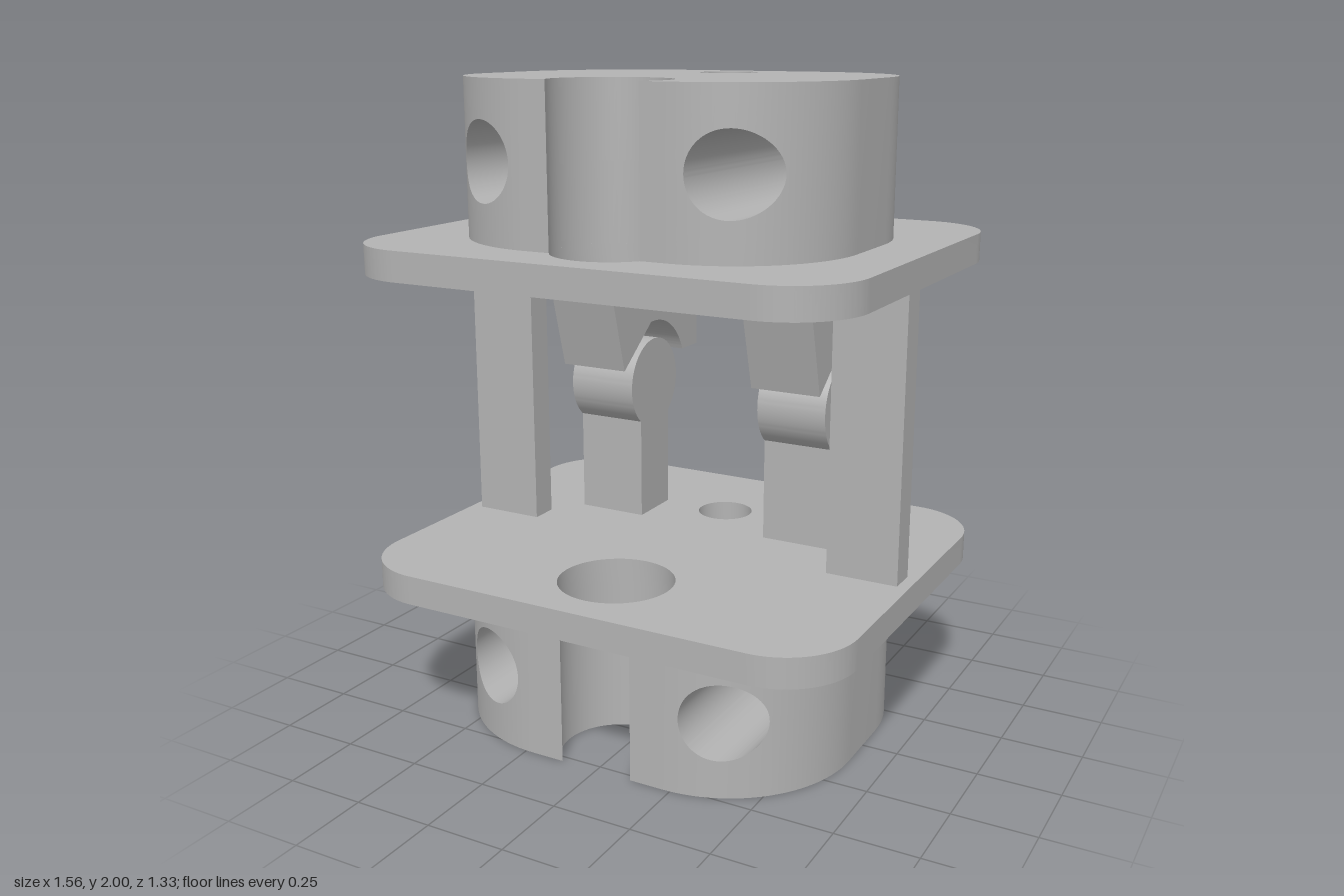
import * as THREE from 'three';
import { toCreasedNormals } from 'three/addons/utils/BufferGeometryUtils.js';

const BIG = { z: 0.395, r: 0.175 };    // front vertical bore
const SMALL = { z: -0.315, r: 0.089 }; // rear vertical bore
const CROSS = { x: 0.393, r: 0.118 };  // pair of horizontal bores along z

// Half height of a horizontal bore at a given x
const gap = (x) => Math.sqrt(Math.max(0, CROSS.r ** 2 - (Math.abs(x) - CROSS.x) ** 2));

// Block outline seen from above as [x, z], counter-clockwise, with the front notch
function blockOutline(hx, hz, r) {
  const cut = Math.sqrt(BIG.r ** 2 - (hz - BIG.z) ** 2);
  const cx = hx - r;
  const xs = [];
  for (let i = 0; i <= 24; i++) xs.push(cx + r * Math.sin((i / 24) * Math.PI / 2));
  for (let i = 0; i <= 32; i++) xs.push(CROSS.x - CROSS.r * Math.cos((i / 32) * Math.PI));
  xs.sort((a, b) => a - b);
  const zAt = (x) => hz - r + Math.sqrt(Math.max(0, r * r - Math.max(0, x - cx) ** 2));
  const side = xs.filter((x, i) => i === 0 || x - xs[i - 1] > 1e-4).map((x) => [x, zAt(x)]);
  const back = [...side].reverse();
  const notch = [];
  const start = Math.atan2(hz - BIG.z, -cut), end = Math.atan2(hz - BIG.z, cut) + 2 * Math.PI;
  for (let i = 0; i <= 40; i++) {
    const a = start + ((end - start) * i) / 40;
    notch.push([BIG.r * Math.cos(a), BIG.z + BIG.r * Math.sin(a)]);
  }
  return [
    ...back.map(([x, z]) => [-x, z]), ...notch, ...side,
    ...back.map(([x, z]) => [x, -z]), ...side.map(([x, z]) => [-x, -z]),
  ];
}

// Rounded block walls, drilled along z, plus the rear vertical bore
function blockWalls(outline, y0, y1, yc) {
  const pos = [];
  const quad = (a, b, c, d) => pos.push(...a, ...b, ...c, ...a, ...c, ...d);
  outline.forEach(([ax, az], i) => {
    const [bx, bz] = outline[(i + 1) % outline.length];
    const ga = gap(ax), gb = gap(bx);
    quad([ax, y0, az], [bx, y0, bz], [bx, yc - gb, bz], [ax, yc - ga, az]);
    quad([ax, yc + ga, az], [bx, yc + gb, bz], [bx, y1, bz], [ax, y1, az]);
    // Bore lining, spanning from the front wall to the back wall
    if (az > 0 && bx > ax && ga + gb > 1e-5) {
      quad([ax, yc - ga, az], [bx, yc - gb, bz], [bx, yc - gb, -bz], [ax, yc - ga, -az]);
      quad([ax, yc + ga, -az], [bx, yc + gb, -bz], [bx, yc + gb, bz], [ax, yc + ga, az]);
    }
  });
  const ring = (i) => {
    const a = (i / 40) * 2 * Math.PI;
    return [SMALL.r * Math.cos(a), SMALL.z + SMALL.r * Math.sin(a)];
  };
  for (let i = 0; i < 40; i++) {
    const [ax, az] = ring(i), [bx, bz] = ring(i + 1);
    quad([ax, y0, az], [bx, y0, bz], [bx, y1, bz], [ax, y1, az]);
  }
  const geo = new THREE.BufferGeometry();
  geo.setAttribute('position', new THREE.Float32BufferAttribute(pos, 3));
  return toCreasedNormals(geo, 0.6);
}

// Circular hole for a shape
const hole = (x, y, r) => new THREE.Path().absarc(x, y, r, 0, Math.PI * 2, true);

// Exposed end face of a block: s = 1 faces up, s = -1 faces down
function blockCap(outline, y, s) {
  const shape = new THREE.Shape(outline.map(([x, z]) => new THREE.Vector2(x, -s * z)));
  shape.holes.push(hole(0, -s * SMALL.z, SMALL.r));
  return new THREE.ShapeGeometry(shape, 40).rotateX(-s * Math.PI / 2).translate(0, y, 0);
}

// Flange plate with rounded corners and both vertical bores
function plate() {
  const hx = 0.78, hz = 0.665, r = 0.225, s = new THREE.Shape();
  s.absarc(hx - r, hz - r, r, 0, Math.PI / 2);
  s.absarc(r - hx, hz - r, r, Math.PI / 2, Math.PI);
  s.absarc(r - hx, r - hz, r, Math.PI, Math.PI * 1.5);
  s.absarc(hx - r, r - hz, r, Math.PI * 1.5, Math.PI * 2);
  s.holes.push(hole(0, -BIG.z, BIG.r), hole(0, -SMALL.z, SMALL.r));
  const geo = new THREE.ExtrudeGeometry(s, { depth: 0.09, bevelEnabled: false, curveSegments: 24 });
  return toCreasedNormals(geo.rotateX(-Math.PI / 2), 0.6);
}

// Extrude a side profile drawn as (-z, y) across x
function sideExtrude(shape, width) {
  const geo = new THREE.ExtrudeGeometry(shape, { depth: width, bevelEnabled: false, curveSegments: 40 });
  return toCreasedNormals(geo.translate(0, 0, -width / 2).rotateY(Math.PI / 2), 0.6);
}

export function createModel() {
  const model = new THREE.Group();
  const grey = new THREE.MeshStandardMaterial({ color: 0xb3b3b3 });
  grey.name = 'plain grey';
  const add = (name, geo, x = 0, y = 0, z = 0) => {
    const mesh = new THREE.Mesh(geo, grey);
    mesh.name = name;
    mesh.position.set(x, y, z);
    model.add(mesh);
  };

  // Upper and lower drilled blocks
  const upper = blockOutline(0.61, 0.492, 0.385);
  add('upperBlock', blockWalls(upper, 1.53, 2, 1.768));
  add('upperBlockTop', blockCap(upper, 2, 1));
  const lower = blockOutline(0.638, 0.524, 0.415);
  add('lowerBlock', blockWalls(lower, 0, 0.47, 0.235));
  add('lowerBlockBase', blockCap(lower, 0, -1));

  // Flange plates
  const flange = plate();
  add('lowerPlate', flange, 0, 0.47, 0);
  add('upperPlate', flange, 0, 1.442, 0);

  // Ball-ended post
  const cz = 0.23, cy = 1, R = 0.147, w = 0.09;
  const a = Math.acos(w / R);
  const ball = new THREE.Shape();
  ball.moveTo(cz - w, 0.555);
  ball.lineTo(cz + w, 0.555);
  ball.absarc(cz, cy, R, -a, Math.PI + a, false);
  ball.closePath();

  // Hanging socket with a round recess over the ball
  const S = 0.206, low = 1.075, b = Math.asin((low - cy) / S);
  const socket = new THREE.Shape();
  socket.moveTo(-0.063, low);
  socket.absarc(cz, cy, S, Math.PI - b, b, true);
  socket.lineTo(0.525, low);
  socket.lineTo(0.525, 1.445);
  socket.lineTo(-0.063, 1.445);
  socket.closePath();

  const ballGeo = sideExtrude(ball, 0.226);
  const socketGeo = sideExtrude(socket, 0.226);
  const pillarGeo = new THREE.BoxGeometry(0.224, 0.89, 0.088);
  for (const [side, s] of [['left', 1], ['right', -1]]) {
    add(side + 'BallPost', ballGeo, s * 0.337);
    add(side + 'Socket', socketGeo, s * 0.337);
    add(side + 'Pillar', pillarGeo, s * 0.632, 1, 0.002);
  }
  return model;
}
